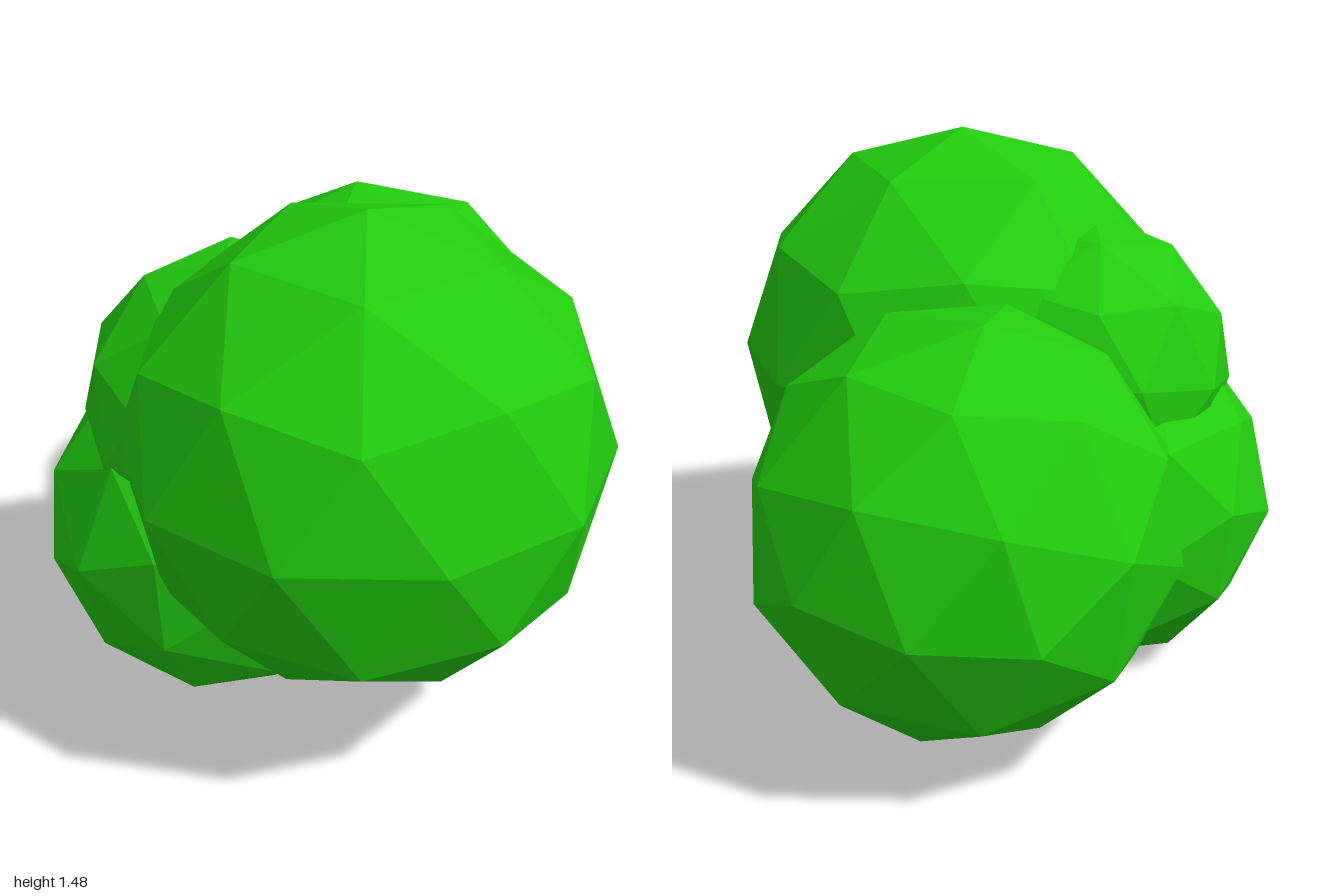
import * as THREE from 'three';

// Faceted ball turned so that two neighbouring corners of its base
// icosahedron point along v1 and v2.
function blob(name, material, radius, center, v1, v2) {
  const a = new THREE.Vector3(...v1).normalize();
  const b = new THREE.Vector3(...v2).normalize();
  const long = a.clone().add(b).normalize();
  const short = a.clone().sub(b).normalize();
  const side = short.clone().cross(long);
  const geometry = new THREE.IcosahedronGeometry(radius, 1);
  geometry.applyMatrix4(new THREE.Matrix4().makeBasis(short, long, side));
  const mesh = new THREE.Mesh(geometry, material);
  mesh.name = name;
  mesh.position.set(...center);
  return mesh;
}

export function createModel() {
  const group = new THREE.Group();
  group.name = 'bush';

  const leaf = new THREE.MeshStandardMaterial({ color: 0x22cc0e, flatShading: true });
  leaf.name = 'leaf green';

  group.add(
    // large front clump
    blob('largeFrontClump', leaf, 0.642, [0.162, 0.844, 0.358], [0, 1, 0], [0.894, 0.447, 0]),
    // rear clump
    blob('rearClump', leaf, 0.572, [-0.09, 0.63, -0.435], [0.45, -0.06, -0.89], [-0.574, -0.19, -0.8]),
    // low clump on the model's right
    blob('lowSideClump', leaf, 0.498, [-0.285, 0.482, 0.24], [0.05, -0.76, 0.66], [-0.5, -0.83, -0.25]),
    // small upper clump on the model's right
    blob('upperSideClump', leaf, 0.43, [-0.222, 0.85, 0.25], [-0.92, 0.37, 0.07], [0, 0.98, 0.18]),
    // inner clump filling the gap between the others
    blob('innerClump', leaf, 0.34, [-0.02, 0.5, 0.08], [0, 1, 0], [0.894, 0.447, 0]),
  );
  return group;
}
